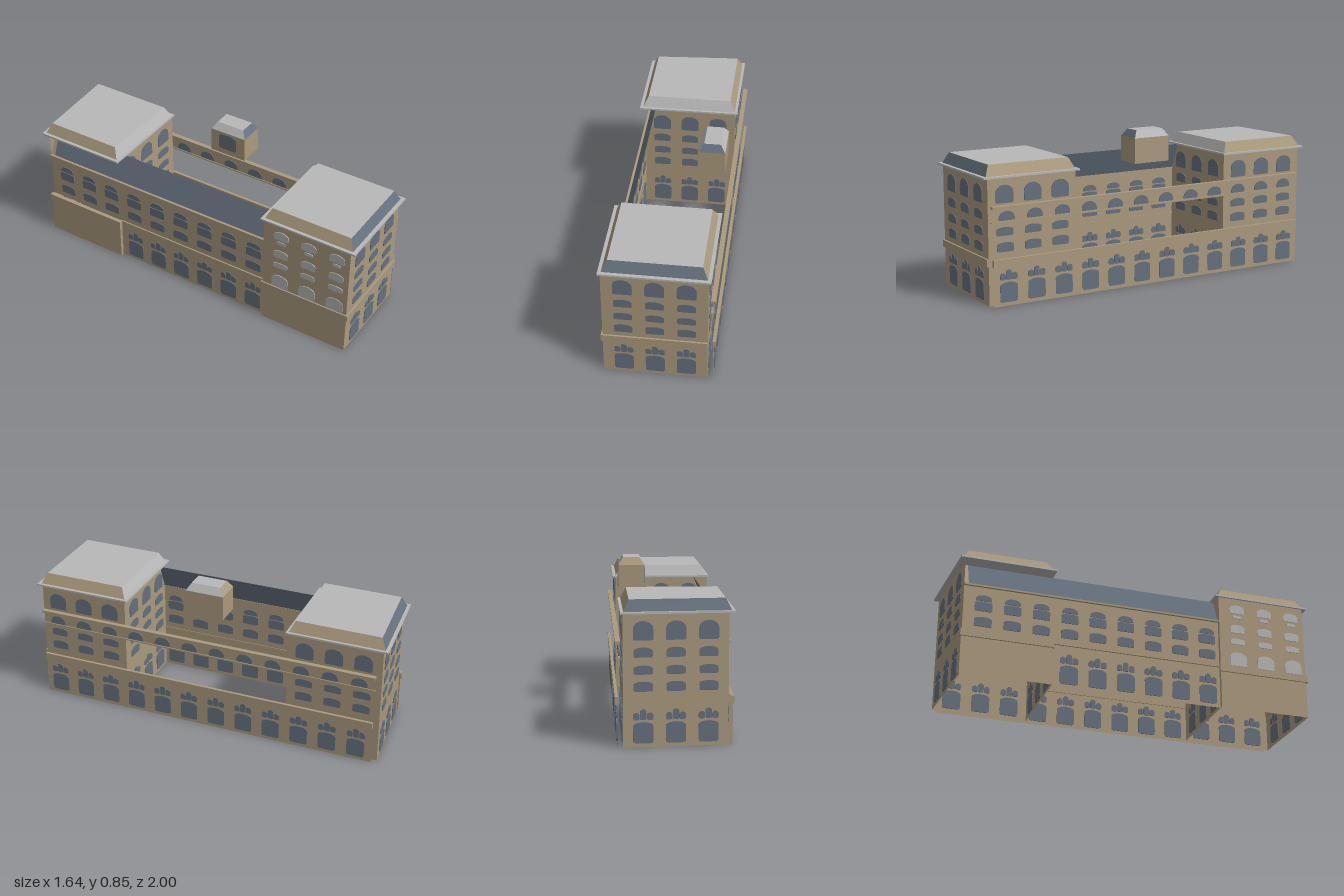
import * as THREE from 'three';

const mat = (name, color) => {
  const m = new THREE.MeshStandardMaterial({ color, side: THREE.DoubleSide });
  m.name = name;
  return m;
};

export function createModel() {
  const stone = mat('stone', 0xab9a7d);
  const slate = mat('slate', 0x66727f);
  const glass = mat('window glass', 0x65717f);
  const grey = mat('pale grey', 0xb8b8b8);

  const model = new THREE.Group();
  model.name = 'building';
  const block = new THREE.Group();
  block.name = 'angledBlock';
  block.rotation.y = -0.946; // the long axis runs diagonally
  model.add(block);

  const add = (parent, name, geo, m, x = 0, y = 0, z = 0) => {
    const mesh = new THREE.Mesh(geo, m);
    mesh.name = name;
    mesh.position.set(x, y, z);
    parent.add(mesh);
    return mesh;
  };
  const box = (name, m, x0, x1, y0, y1, z0, z1) =>
    add(block, name, new THREE.BoxGeometry(x1 - x0, y1 - y0, z1 - z0), m, (x0 + x1) / 2, (y0 + y1) / 2, (z0 + z1) / 2);

  // Flat polygon through a loop of 3D points
  const face = (name, pts, m) => {
    const g = new THREE.BufferGeometry();
    const tris = [];
    for (let i = 1; i < pts.length - 1; i++) tris.push(...pts[0], ...pts[i], ...pts[i + 1]);
    g.setAttribute('position', new THREE.Float32BufferAttribute(tris, 3));
    g.computeVertexNormals();
    return add(block, name, g, m);
  };

  // Wall frame whose x axis runs from a to b and whose z axis points outward
  const wall = (name, a, b, y0, y1, cut = 0) => {
    const dx = b[0] - a[0], dz = b[1] - a[1], len = Math.hypot(dx, dz);
    const g = new THREE.Group();
    g.name = name;
    g.position.set(a[0], 0, a[1]);
    g.rotation.y = Math.atan2(-dz, dx);
    const pts = [[0, y0], [len, y0], [len, y1], [cut, y1]];
    if (cut) pts.push([0, 0.52]);
    const s = new THREE.Shape(pts.map(p => new THREE.Vector2(...p)));
    add(g, name + 'Surface', new THREE.ShapeGeometry(s), stone);
    block.add(g);
    return g;
  };

  // Window pane with rounded top and bottom corners
  const pane = (parent, x, y0, y1, w, top, bottom = 0.01, m = glass, z = 0) => {
    const h = w / 2, s = new THREE.Shape();
    s.moveTo(-h + bottom, y0);
    s.lineTo(h - bottom, y0);
    s.quadraticCurveTo(h, y0, h, y0 + bottom);
    s.lineTo(h, y1 - top);
    s.bezierCurveTo(h, y1 - top * 0.45, h * 0.55, y1, 0, y1);
    s.bezierCurveTo(-h * 0.55, y1, -h, y1 - top * 0.45, -h, y1 - top);
    s.lineTo(-h, y0 + bottom);
    s.quadraticCurveTo(-h, y0, -h + bottom, y0);
    const g = new THREE.ExtrudeGeometry(s, { depth: 0.008, bevelEnabled: false, curveSegments: 6 });
    add(parent, 'window', g, m, x, 0, z - 0.004);
  };

  // Ground floor bay: large window with a cluster of small lights above
  const groundBay = (p, x, z = 0) => {
    pane(p, x, 0.02, 0.127, 0.1, 0.02, 0.015, glass, z);
    for (const i of [-1, 0, 1]) pane(p, x + i * 0.034, 0.138, i ? 0.175 : 0.192, 0.032, 0.015, 0.01, glass, z);
  };
  // Tower bays: two square rows, an arched row and tall arches on top
  const towerBays = (p, xs, ground = true) => xs.forEach(x => {
    if (ground) groundBay(p, x);
    pane(p, x, 0.28, 0.33, 0.095, 0.014);
    pane(p, x, 0.365, 0.41, 0.095, 0.014);
    pane(p, x, 0.45, 0.5, 0.095, 0.018);
    pane(p, x, 0.535, 0.63, 0.1, 0.04);
  });
  const cols = (n, start, step) => Array.from({ length: n }, (_, i) => start + i * step);

  // Plan corners
  const F = 0.28, R = 0.26, B = -0.265;
  const aOutF = -0.972, aOutB = -1.012, aIn = -0.485, bIn = 0.472, bOut = 0.985;

  // Tower end and rear walls
  towerBays(wall('towerEndWall', [bOut, F], [bOut, B], 0, 0.67), cols(3, 0.11, 0.163));
  towerBays(wall('towerInnerWall', [bIn, B], [bIn, F], 0, 0.67), cols(3, 0.11, 0.163));
  towerBays(wall('towerRearWall', [bOut, B], [bIn, B], 0, 0.67), cols(3, 0.095, 0.162));
  towerBays(wall('farTowerEndWall', [aOutB, B], [aOutF, R], 0, 0.67), cols(3, 0.1, 0.163));
  towerBays(wall('farTowerInnerWall', [aIn, R], [aIn, B], 0, 0.67, 0.06), cols(3, 0.1, 0.163));
  towerBays(wall('farTowerRearWall', [aIn, B], [aOutB, B], 0, 0.67), cols(3, 0.1, 0.162));

  // Near tower front, with pale openings and windows facing the inside below
  const nearFront = wall('towerFrontWall', [bIn, F], [bOut, F], 0, 0.67);
  for (const x of cols(3, 0.107, 0.166)) {
    pane(nearFront, x, 0.575, 0.628, 0.09, 0.025, 0.01, grey);
    pane(nearFront, x, 0.545, 0.565, 0.05, 0.008, 0.006, grey);
    pane(nearFront, x, 0.455, 0.505, 0.085, 0.015, 0.01, grey);
    pane(nearFront, x, 0.385, 0.42, 0.085, 0.01, 0.01, grey);
    pane(nearFront, x, 0.253, 0.335, 0.1, 0.03, 0.005, grey);
    groundBay(nearFront, x, -0.008);
  }

  // Far tower front: plain base, storeys above in line with the middle wing
  const farBase = wall('farTowerBase', [aOutF - 0.007, F], [aIn, F], 0, 0.25);
  cols(3, 0.11, 0.158).forEach(x => groundBay(farBase, x, -0.008));
  wall('farTowerBaseReturn', [aIn, F], [aIn, R], 0, 0.25);
  wall('farTowerBaseEnd', [aOutF - 0.007, R], [aOutF - 0.007, F], 0, 0.25);
  const farFront = wall('farTowerFrontWall', [aOutF, R], [aIn, R], 0.25, 0.52);
  const wing = wall('wingFrontWall', [aIn, R], [bIn, R], 0, 0.52);
  const wingBay = (p, x) => {
    pane(p, x, 0.285, 0.34, 0.095, 0.014);
    pane(p, x, 0.375, 0.43, 0.095, 0.008);
    pane(p, x, 0.435, 0.468, 0.085, 0.022, 0.004);
  };
  cols(3, -0.863 - aOutF, 0.158).forEach(x => wingBay(farFront, x));
  cols(6, -0.389 - aIn, 0.158).forEach(x => { groundBay(wing, x); wingBay(wing, x); });

  // Sloped slate roof along the front
  const sx = aOutF + 0.025;
  face('mansardRoof', [[sx, 0.52, R], [bIn, 0.52, R], [bIn, 0.67, 0.2], [sx, 0.67, 0.2]], slate);
  face('mansardEnd', [[aOutF, 0.52, R], [sx, 0.52, R], [sx, 0.67, 0.2], [aOutF, 0.67, 0.2]], stone);

  // Cornices
  box('wingLedge', stone, aOutF, bIn, 0.515, 0.525, R - 0.005, R + 0.012);
  box('wingBelt', stone, aIn, bIn, 0.24, 0.25, R - 0.004, R + 0.008);
  box('farTowerBelt', stone, aOutF - 0.012, aIn + 0.006, 0.21, 0.25, F - 0.015, F + 0.008);
  box('towerBelt', stone, bIn - 0.006, bOut + 0.01, 0.21, 0.25, F - 0.006, F + 0.008);
  box('towerEndBelt', stone, bOut - 0.004, bOut + 0.01, 0.21, 0.25, B, F);

  // Freestanding rear screen: ground arcade and arched gallery band
  const rearA = -0.985, rearB = 0.975;
  const arcade = wall('rearArcade', [rearB, -0.293], [rearA, -0.293], 0, 0.25);
  cols(12, 0.088, 0.1622).forEach(x => groundBay(arcade, x));
  box('rearArcadeCornice', stone, rearA, rearB, 0.21, 0.25, -0.304, -0.288);
  const gallery = wall('rearGallery', [rearB, -0.281], [rearA, -0.281], 0.44, 0.52);
  cols(12, 0.088, 0.1622).forEach(x => pane(gallery, x, 0.448, 0.497, 0.09, 0.035, 0.004));
  box('rearGalleryCornice', stone, rearA, rearB, 0.512, 0.526, -0.302, -0.276);
  box('rearGallerySill', stone, rearA, rearB, 0.436, 0.444, -0.286, -0.276);

  // Truncated roof on four base corners, in the order front-left, front-right, back-right, back-left
  const roof = (name, base, inset, y0, y1, mats) => {
    const sign = [[1, -1], [-1, -1], [-1, 1], [1, 1]];
    const top = base.map(([x, z], i) => [x + sign[i][0] * inset, y1, z + sign[i][1] * inset]);
    const low = base.map(([x, z]) => [x, y0, z]);
    for (let i = 0; i < 4; i++) {
      const j = (i + 1) % 4;
      face(name + 'Slope', [low[i], low[j], top[j], top[i]], mats[i]);
    }
    face(name + 'Top', top, grey);
  };
  // Eave slab from its plan corners
  const eave = pts => {
    const s = new THREE.Shape(pts.map(([x, z]) => new THREE.Vector2(x, -z)));
    const g = new THREE.ExtrudeGeometry(s, { depth: 0.01, bevelEnabled: false });
    g.rotateX(-Math.PI / 2);
    add(block, 'eave', g, grey, 0, 0.667, 0);
  };
  eave([[-1.0, 0.29], [-0.472, 0.29], [-0.478, -0.277], [-1.04, -0.277]]);
  eave([[0.453, 0.29], [1.012, 0.29], [1.012, -0.28], [0.453, -0.28]]);
  roof('farTowerRoof', [[-0.985, 0.272], [-0.49, 0.272], [-0.49, -0.262], [-1.02, -0.262]], 0.028, 0.677, 0.735, [stone, grey, stone, slate]);
  roof('towerRoof', [[0.472, 0.272], [0.992, 0.272], [0.992, -0.262], [0.472, -0.262]], 0.028, 0.677, 0.735, [stone, slate, stone, grey]);

  // Small rooftop lantern, open underneath
  const c = [[-0.115, -0.117], [0.102, -0.117], [0.102, -0.26], [-0.115, -0.26]];
  for (let i = 0; i < 4; i++) {
    const w = wall('lanternWall', c[i], c[(i + 1) % 4], 0.667, 0.805);
    if (i === 0) pane(w, 0.108, 0.7, 0.795, 0.11, 0.015);
  }
  roof('lanternRoof', c, 0.026, 0.805, 0.845, [grey, slate, grey, stone]);

  return model;
}
